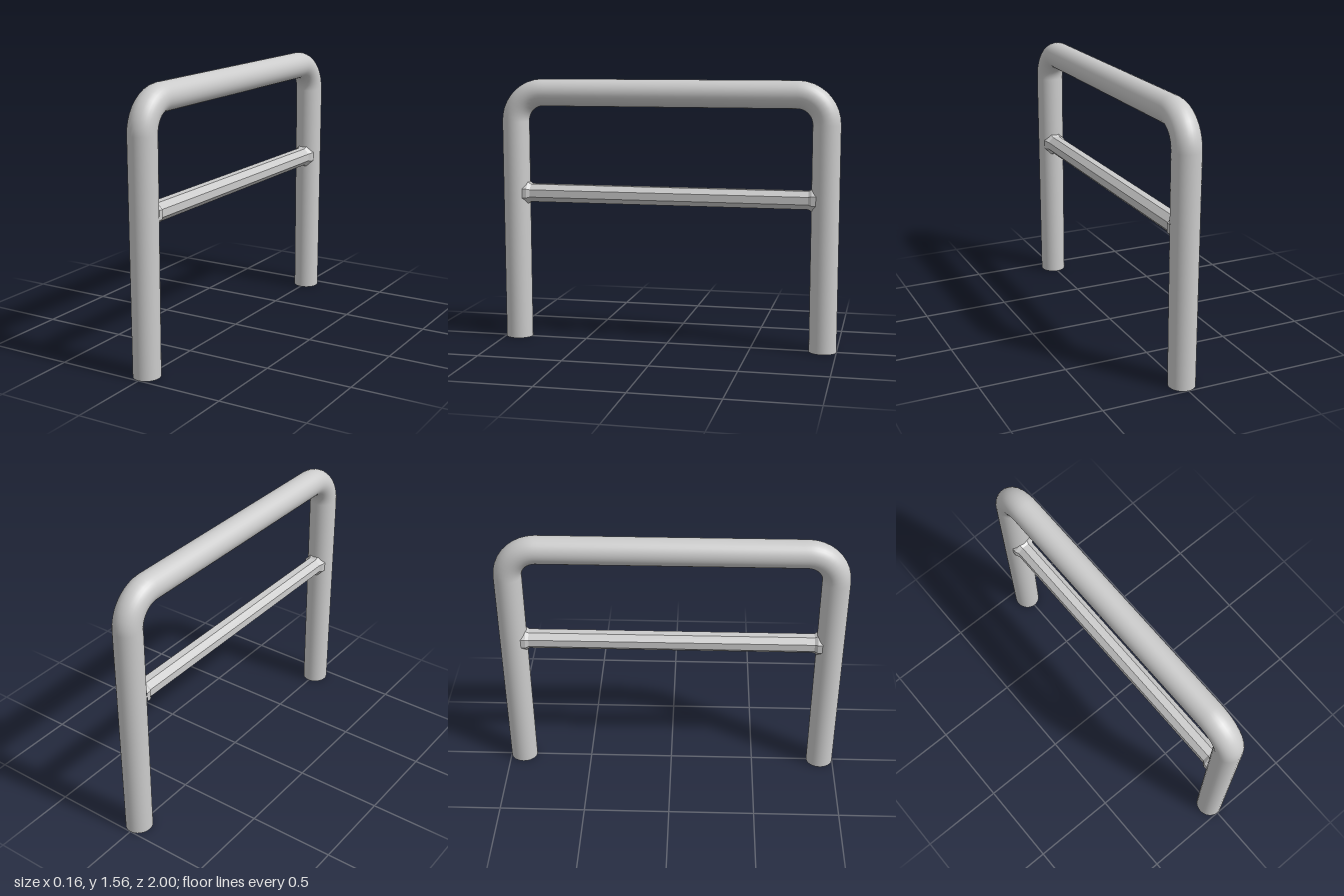
import * as THREE from 'three';

const TUBE = 0.08;            // main tube radius
const LEG_Z = 0.92;           // leg centre line
const TOP_Y = 1.48;           // top rail centre line
const BEND = 0.17;            // bend radius on the centre line
const BAR_Y = 0.883;          // cross bar height
const BAR = 0.057;            // cross bar corner radius

const material = new THREE.MeshStandardMaterial({ color: 0xcccccc });
const barMaterial = new THREE.MeshStandardMaterial({ color: 0xcccccc, flatShading: true });

const at = (y, z) => new THREE.Vector3(0, y, z);

// Legs grow very slightly slimmer sideways towards the ground
const slim = (y) => 1 - 0.06 * Math.max(0, 1 - y / 1.2);

function addMesh(group, name, geometry, mat = material) {
  const mesh = new THREE.Mesh(geometry, mat);
  mesh.name = name;
  group.add(mesh);
  return mesh;
}

// Centre line: up one leg, round the bend, along the top and down again
function framePath() {
  const k = BEND * (1 - 0.5523);
  const low = TOP_Y - BEND, end = LEG_Z - BEND;
  const path = new THREE.CurvePath();
  path.add(new THREE.LineCurve3(at(0, LEG_Z), at(low, LEG_Z)));
  path.add(new THREE.CubicBezierCurve3(at(low, LEG_Z), at(TOP_Y - k, LEG_Z), at(TOP_Y, LEG_Z - k), at(TOP_Y, end)));
  path.add(new THREE.LineCurve3(at(TOP_Y, end), at(TOP_Y, -end)));
  path.add(new THREE.CubicBezierCurve3(at(TOP_Y, -end), at(TOP_Y, k - LEG_Z), at(TOP_Y - k, -LEG_Z), at(low, -LEG_Z)));
  path.add(new THREE.LineCurve3(at(low, -LEG_Z), at(0, -LEG_Z)));
  return path;
}

export function createModel() {
  const group = new THREE.Group();
  group.name = 'tubularStand';

  // Bent tube frame
  const frame = new THREE.TubeGeometry(framePath(), 160, TUBE, 32, false);
  const pos = frame.attributes.position;
  for (let i = 0; i < pos.count; i++) pos.setX(i, pos.getX(i) * slim(pos.getY(i)));
  frame.computeBoundingSphere();
  addMesh(group, 'bentFrame', frame);

  // Flat caps under the feet
  for (const side of [1, -1]) {
    const cap = new THREE.CircleGeometry(TUBE, 32).rotateX(Math.PI / 2).scale(slim(0), 1, 1);
    addMesh(group, side > 0 ? 'frontFootCap' : 'backFootCap', cap).position.set(0, 0, side * LEG_Z);
  }

  // Eight-sided cross bar, flaring a little where it meets the legs
  const half = LEG_Z - TUBE;
  const profile = [
    [BAR + 0.012, -half - 0.03], [BAR + 0.012, -half - 0.004], [BAR, -half + 0.014],
    [BAR, half - 0.014], [BAR + 0.012, half + 0.004], [BAR + 0.012, half + 0.03],
  ].map(([r, y]) => new THREE.Vector2(r, y));
  const bar = new THREE.LatheGeometry(profile, 8, Math.PI / 8).rotateX(Math.PI / 2);
  addMesh(group, 'crossBar', bar, barMaterial).position.y = BAR_Y;

  return group;
}
